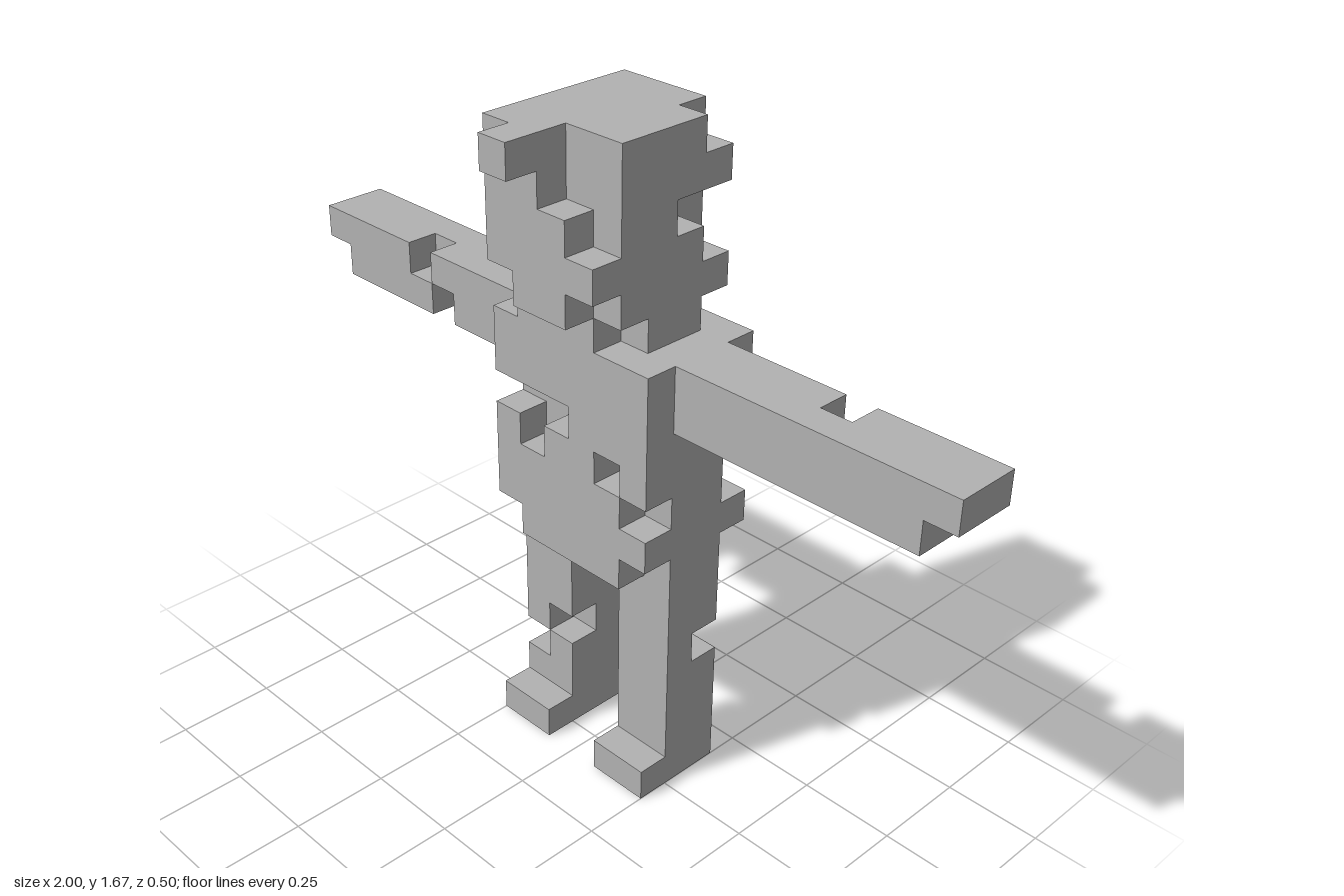
import * as THREE from 'three';
import { mergeGeometries } from 'three/addons/utils/BufferGeometryUtils.js';

const U = 1 / 12; // edge of one block

// Each part: boxes of blocks [x0,y0,z0, x1,y1,z1] (end exclusive), minus chipped-off boxes.
// A chip given as [x,y,z] removes a single block.
const PARTS = {
  rightLeg: {
    boxes: [[-3, 0, -2, -1, 7, 0], [-3, 0, 0, -1, 1, 1]],
    chips: [[-3, 2, -1], [-2, 3, -1]],
  },
  leftLeg: {
    boxes: [[1, 0, -2, 3, 7, 0], [1, 0, 0, 3, 1, 1]],
    chips: [[2, 4, -2], [1, 3, -2]],
  },
  torso: {
    boxes: [[-3, 7, -3, 3, 14, 1]],
    chips: [
      // bottom corners
      [-3, 7, 0], [2, 7, 0], [-3, 7, -3], [2, 7, -3],
      // chest
      [-3, 11, 0, 0, 12, 1], [-2, 10, 0], [1, 10, 0], [2, 9, 0],
      // back corners
      [2, 9, -3, 3, 11, -2], [-3, 9, -3],
    ],
  },
  rightArm: {
    boxes: [[-12, 12, -2, -3, 14, 0]],
    chips: [[-12, 12, -2, -11, 13, 0], [-8, 13, -1], [-7, 12, -1]],
  },
  leftArm: {
    boxes: [[3, 12, -2, 12, 14, 0]],
    chips: [[11, 12, -2, 12, 13, 0], [7, 13, -2], [6, 12, -2]],
  },
  neck: {
    boxes: [[-2, 14, -2, 2, 15, 1]],
    chips: [[1, 14, 0]],
  },
  head: {
    boxes: [[-2, 15, -3, 2, 20, 2], [-1, 19, 2, 0, 20, 3]],
    chips: [
      // face
      [0, 18, 1, 2, 20, 2], [1, 17, 1], [1, 15, 1], [-2, 15, 1],
      // back of the left side
      [1, 19, -3], [1, 17, -3, 2, 18, -1], [1, 16, -3],
    ],
  },
};

const DIRECTIONS = [
  [1, 0, 0], [-1, 0, 0], [0, 1, 0], [0, -1, 0], [0, 0, 1], [0, 0, -1],
].map((d) => new THREE.Vector3(...d));

function forBlocks([x0, y0, z0, x1 = x0 + 1, y1 = y0 + 1, z1 = z0 + 1], visit) {
  for (let x = x0; x < x1; x++)
    for (let y = y0; y < y1; y++)
      for (let z = z0; z < z1; z++) visit(x, y, z);
}

const key = (x, y, z) => `${x},${y},${z}`;

// Blocks left in a part once its chips are taken away
function carve({ boxes, chips }) {
  const blocks = new Map();
  boxes.forEach((b) => forBlocks(b, (x, y, z) => blocks.set(key(x, y, z), new THREE.Vector3(x, y, z))));
  chips.forEach((c) => forBlocks(c, (x, y, z) => blocks.delete(key(x, y, z))));
  return blocks;
}

// One square for every block side that touches no other block
function skin(blocks, filled) {
  const front = new THREE.Vector3(0, 0, 1);
  const faces = [];
  for (const p of blocks.values()) {
    for (const d of DIRECTIONS) {
      if (filled.has(key(p.x + d.x, p.y + d.y, p.z + d.z))) continue;
      const centre = p.clone().addScalar(0.5).addScaledVector(d, 0.5).multiplyScalar(U);
      const face = new THREE.PlaneGeometry(U, U);
      face.applyQuaternion(new THREE.Quaternion().setFromUnitVectors(front, d));
      faces.push(face.translate(centre.x, centre.y, centre.z));
    }
  }
  return mergeGeometries(faces);
}

export function createModel() {
  const grey = new THREE.MeshStandardMaterial({ color: 0xb2b2b2 });
  grey.name = 'grey';

  const model = new THREE.Group();
  model.name = 'blockFigure';

  const carved = Object.entries(PARTS).map(([name, part]) => [name, carve(part)]);
  const filled = new Set(carved.flatMap(([, blocks]) => [...blocks.keys()]));
  for (const [name, blocks] of carved) {
    const mesh = new THREE.Mesh(skin(blocks, filled), grey);
    mesh.name = name;
    model.add(mesh);
  }
  return model;
}
